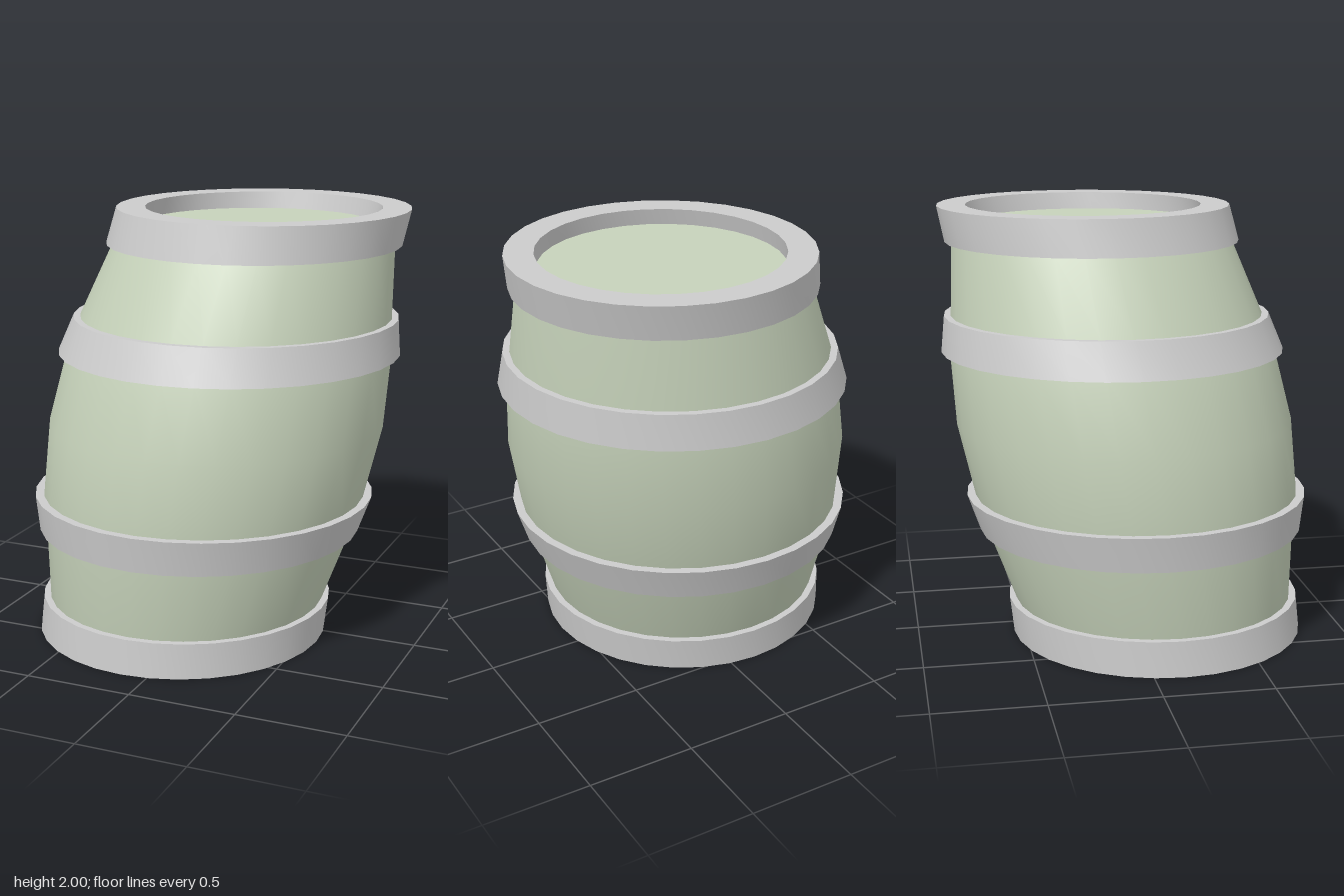
import * as THREE from 'three';
import { toCreasedNormals } from 'three/addons/utils/BufferGeometryUtils.js';

const SIDES = 32;

// Centre line of the leaning barrel: [height, x, z]
const SPINE = [
  [0, -0.125, 0.14], [0.165, -0.11, 0.124], [0.5, -0.067, 0.07], [0.665, -0.05, 0.053],
  [1, -0.006, 0.004], [1.335, 0.04, -0.045], [1.5, 0.064, -0.069], [1.835, 0.13, -0.127],
  [2, 0.164, -0.162],
];

// Shift every vertex sideways to follow the spine
function lean(geometry) {
  const p = geometry.attributes.position;
  for (let i = 0; i < p.count; i++) {
    const y = p.getY(i);
    let k = 0;
    while (k < SPINE.length - 2 && y > SPINE[k + 1][0]) k++;
    const [y0, x0, z0] = SPINE[k];
    const [y1, x1, z1] = SPINE[k + 1];
    const t = (y - y0) / (y1 - y0);
    p.setX(i, p.getX(i) + THREE.MathUtils.lerp(x0, x1, t));
    p.setZ(i, p.getZ(i) + THREE.MathUtils.lerp(z0, z1, t));
  }
  return geometry;
}

// Turn a [radius, height] profile into a leaning round part
function turned(name, profile, material) {
  const points = profile.map(([r, y]) => new THREE.Vector2(r, y));
  const geometry = lean(new THREE.LatheGeometry(points, SIDES));
  const mesh = new THREE.Mesh(toCreasedNormals(geometry, 0.6), material);
  mesh.name = name;
  return mesh;
}

// Closed band with a flat top and bottom
function hoop(name, y0, y1, outer0, outer1, inner0, inner1, material) {
  return turned(name, [
    [inner0, y0], [outer0, y0], [outer1, y1], [inner1, y1], [inner0, y0],
  ], material);
}

export function createModel() {
  const group = new THREE.Group();
  group.name = 'barrel';
  const wood = new THREE.MeshStandardMaterial({ color: 0xc6d2ba });
  const metal = new THREE.MeshStandardMaterial({ color: 0xcccccc });

  // Bulging body with the recessed lid and base
  group.add(turned('body', [
    [0, 0.08], [0.63, 0.08], [0.658, 0.165], [0.732, 0.5], [0.765, 0.665], [0.793, 1],
    [0.765, 1.335], [0.732, 1.5], [0.658, 1.835], [0.63, 1.92], [0, 1.92],
  ], wood));

  // End rims, overhanging the lid and base
  group.add(hoop('bottomRim', 0, 0.165, 0.688, 0.69, 0.553, 0.553, metal));
  group.add(hoop('topRim', 1.835, 2, 0.69, 0.687, 0.553, 0.553, metal));

  // Tapered bands around the belly
  group.add(hoop('lowerBand', 0.5, 0.665, 0.764, 0.805, 0.71, 0.74, metal));
  group.add(hoop('upperBand', 1.335, 1.5, 0.805, 0.764, 0.74, 0.71, metal));

  return group;
}
